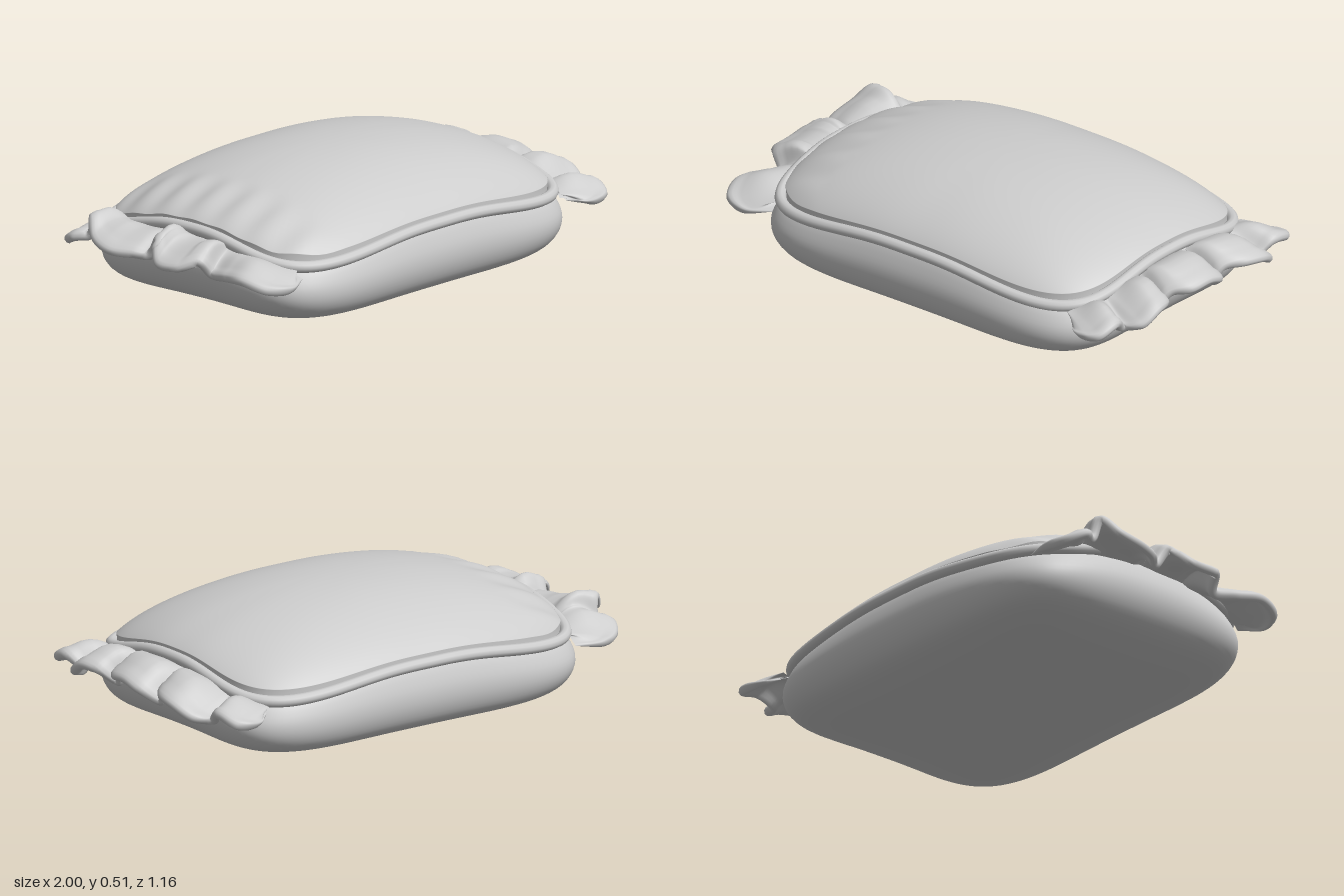
import * as THREE from 'three';
import { mergeVertices } from 'three/addons/utils/BufferGeometryUtils.js';

const V = (x, y, z) => new THREE.Vector3(x, y, z);
const HALF_X = 0.775, HALF_Z = 0.562, CROWN = 0.515;

// Smooth surface through a grid of points f(i, j)
function loft(f, nu, nv) {
  const pos = [], idx = [];
  for (let i = 0; i <= nu; i++) for (let j = 0; j <= nv; j++) pos.push(...f(i, j).toArray());
  for (let i = 0; i < nu; i++) for (let j = 0; j < nv; j++) {
    const a = i * (nv + 1) + j, b = a + nv + 1;
    idx.push(a, b, a + 1, b, b + 1, a + 1);
  }
  const geo = new THREE.BufferGeometry();
  geo.setAttribute('position', new THREE.Float32BufferAttribute(pos, 3));
  geo.setIndex(idx);
  const merged = mergeVertices(geo, 1e-5);
  merged.computeVertexNormals();
  return merged;
}

// Rounded cushion outline, n sets how square the corners are
function outline(t, n, s) {
  const c = Math.cos(t), d = Math.sin(t);
  const r = s * Math.pow(Math.abs(c) ** n + Math.abs(d) ** n, -1 / n);
  return [HALF_X * r * c, HALF_Z * r * d];
}

// The seam dips towards the corners and is highest at the short ends
const seamY = t => 0.3 + 0.03 * Math.cos(t) ** 2 - 0.06 * Math.abs(Math.sin(2 * t)) ** 3;

function cushionGeometry() {
  const nu = 192, nTop = 28, nLow = 30;
  const low = new THREE.SplineCurve([
    [0.965, 0.3], [1.0, 0.262], [1.03, 0.2], [1.025, 0.14], [0.985, 0.085], [0.92, 0.05],
    [0.82, 0.028], [0.65, 0.013], [0.4, 0.004], [0, 0],
  ].map(p => new THREE.Vector2(...p)));
  return loft((i, j) => {
    const t = (i % nu) / nu * Math.PI * 2, seam = seamY(t);
    if (j <= nTop) {
      // Domed upper half with soft gathers beside one frill
      const s = 0.97 * Math.sin(j / nTop * Math.PI / 2);
      const [x, z] = outline(t, 2.5 + 2.5 * s, s);
      const dome = Math.pow(1 - s ** 2.2, 0.7);
      const gather = x < -0.5 ? 0.006 * Math.sin((-x - 0.5) / 0.28 * Math.PI) * Math.cos(z * 42) : 0;
      return V(x, seam + (CROWN - seam) * dome + gather, z);
    }
    // Full lower half with a flat base
    const p = low.getPoint((j - nTop - 1) / nLow);
    const s = Math.max(p.x, 0);
    const [x, z] = outline(t, 2.8 + 2.2 * Math.min(s, 1), s);
    return V(x, Math.max(p.y, 0) * seam / 0.3, z);
  }, nu, nTop + 1 + nLow);
}

function pipingGeometry() {
  const pts = [];
  for (let i = 0; i < 96; i++) {
    const t = i / 96 * Math.PI * 2;
    const [x, z] = outline(t, 5, 0.99);
    pts.push(V(x, seamY(t), z));
  }
  return new THREE.TubeGeometry(new THREE.CatmullRomCurve3(pts, true), 240, 0.022, 10, true);
}

// Gathered cloth with a rolled hem, lofted between the seam and a wavy hem line
function frillGeometry(hemPoints) {
  const hem = new THREE.CatmullRomCurve3(hemPoints.map(p => V(...p)));
  const side = Math.sign(hemPoints[0][0]);
  const half = [[0, 0.009], [0.15, 0.009], [0.3, 0.009], [0.45, 0.009], [0.6, 0.009],
    [0.75, 0.009], [0.85, 0.011], [0.92, 0.017], [1, 0.018], [1.05, 0.012]];
  const section = [
    ...half.map(([t, w]) => [t, -w]), [1.075, 0], ...half.slice().reverse(),
  ];
  const n = 200;
  return loft((i, j) => {
    const u = i / n, tip = hem.getPoint(u), tan = hem.getTangent(u);
    const k = Math.min(1, Math.abs(tip.z) / 0.57);
    const root = V(side * (0.755 - 0.06 * k ** 4), 0.295 - 0.06 * k ** 2, tip.z * 0.88);
    const normal = tip.clone().sub(root).cross(tan).normalize();
    const [t, w] = section[j];
    const taper = Math.min(1, 0.1 + 14 * Math.min(u, 1 - u));
    const lift = Math.min(1, Math.max(0, (tip.y - 0.2) / 0.06)) * 0.045 * taper;
    const p = root.lerp(tip, t);
    p.y += lift * Math.sin(Math.PI * Math.min(t, 1));
    return p.addScaledVector(normal, w * taper);
  }, n, section.length - 1);
}

const LEFT_HEM = [
  [0.72, 0.22, 0.5], [0.8, 0.205, 0.56], [0.88, 0.215, 0.545], [0.905, 0.245, 0.47],
  [0.88, 0.2, 0.4], [0.94, 0.215, 0.365], [0.96, 0.26, 0.29], [0.945, 0.255, 0.23],
  [0.88, 0.205, 0.18], [0.9, 0.25, 0.15], [0.955, 0.265, 0.1], [0.97, 0.275, 0.01],
  [0.96, 0.25, -0.06], [0.9, 0.205, -0.11], [0.915, 0.25, -0.135], [0.965, 0.265, -0.2],
  [0.98, 0.255, -0.29], [0.94, 0.21, -0.37], [0.88, 0.2, -0.4], [0.9, 0.24, -0.46],
  [0.875, 0.215, -0.55], [0.79, 0.205, -0.56], [0.71, 0.22, -0.5],
];
const RIGHT_HEM = [
  [-0.71, 0.22, -0.5], [-0.82, 0.21, -0.52], [-0.9, 0.22, -0.485], [-0.935, 0.25, -0.42],
  [-0.905, 0.26, -0.37], [-0.92, 0.335, -0.345], [-0.965, 0.28, -0.29], [-0.98, 0.25, -0.2],
  [-0.95, 0.245, -0.12], [-0.91, 0.24, -0.07], [-0.92, 0.31, -0.02], [-0.95, 0.29, 0],
  [-0.985, 0.25, 0.05], [-0.98, 0.25, 0.14], [-0.935, 0.27, 0.2], [-0.89, 0.22, 0.225],
  [-0.91, 0.23, 0.32], [-0.93, 0.24, 0.42], [-0.895, 0.215, 0.51], [-0.8, 0.205, 0.545],
  [-0.7, 0.22, 0.5],
];

export function createModel() {
  const cloth = new THREE.MeshStandardMaterial({ color: 0xcccccc });
  cloth.name = 'greyCloth';
  const model = new THREE.Group();
  model.name = 'frilledPillow';
  const parts = {
    cushion: cushionGeometry(),
    piping: pipingGeometry(),
    leftFrill: frillGeometry(LEFT_HEM),
    rightFrill: frillGeometry(RIGHT_HEM),
  };
  for (const [name, geometry] of Object.entries(parts)) {
    const mesh = new THREE.Mesh(geometry, cloth);
    mesh.name = name;
    model.add(mesh);
  }
  return model;
}
